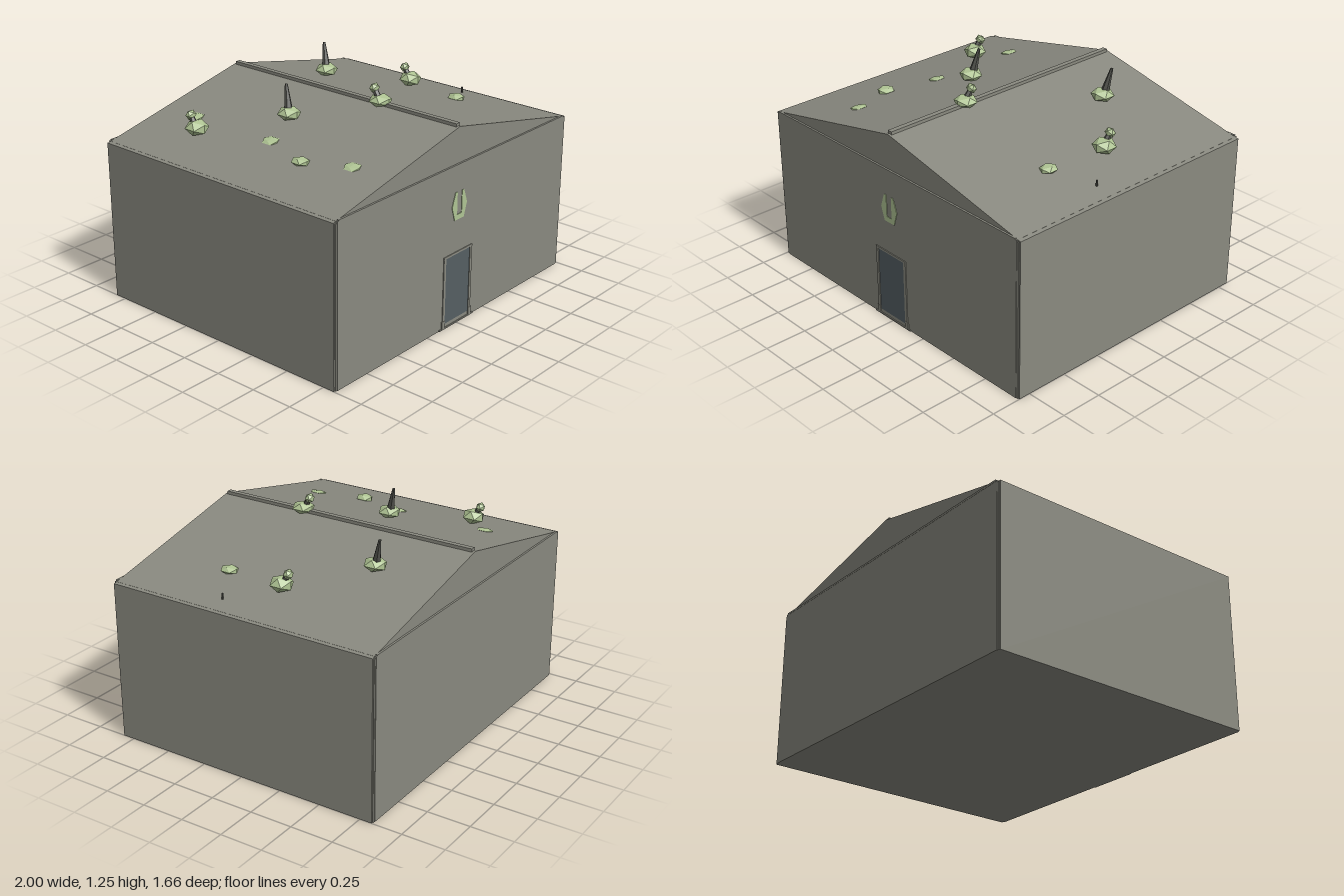
import * as THREE from 'three';

const mat = (name, color, flat = true) => {
  const m = new THREE.MeshStandardMaterial({ color, flatShading: flat });
  m.name = name;
  return m;
};

export function createModel() {
  const model = new THREE.Group();
  const stone = mat('stone', 0x8a8a80);
  const glass = mat('dark door', 0x555f63);
  const moss = mat('moss green', 0xb0c594);
  const bark = mat('dark spike', 0x52534d);

  const add = (name, geo, material, x = 0, y = 0, z = 0, parent = model) => {
    const mesh = new THREE.Mesh(geo, material);
    mesh.name = name;
    mesh.position.set(x, y, z);
    parent.add(mesh);
    return mesh;
  };
  const box = (name, w, h, d, x, y, z, material = stone) =>
    add(name, new THREE.BoxGeometry(w, h, d), material, x, y, z);
  const extrude = (points, depth) => new THREE.ExtrudeGeometry(
    new THREE.Shape(points.map(p => new THREE.Vector2(...p))), { depth, bevelEnabled: false });
  const roofY = x => 1.14 - 0.215 * Math.abs(x);

  // Walls: two crossing blocks leave a stepped notch at each corner
  box('sideWalls', 2, 0.925, 1.64, 0, 0.4625, 0);
  box('endWalls', 1.96, 0.93, 1.656, 0, 0.465, 0);

  // Gabled roof and its ridge cap
  add('roof', extrude([[-1, 0.92], [1, 0.92], [1, 0.925], [0, 1.14], [-1, 0.925]], 1.636),
    stone, 0, 0, -0.818);
  box('ridgeCap', 0.03, 0.03, 1.61, 0, 1.14, 0);

  // Cornices and corner strips
  for (const s of [-1, 1]) {
    box('cornice', 1.94, 0.012, 0.012, 0, 0.93, s * 0.823);
    for (const t of [-1, 1]) box('cornerStrip', 0.02, 0.92, 0.012, s * 0.982, 0.46, t * 0.819);
  }

  // Door with frame, feet and threshold
  box('door', 0.21, 0.39, 0.006, 0, 0.225, 0.827, glass);
  for (const s of [-1, 1]) {
    box('doorJamb', 0.018, 0.43, 0.01, s * 0.115, 0.215, 0.828);
    box('jambFoot', 0.025, 0.05, 0.012, s * 0.118, 0.025, 0.828);
  }
  box('doorLintel', 0.25, 0.012, 0.01, 0, 0.425, 0.828);
  box('threshold', 0.3, 0.008, 0.012, 0, 0.004, 0.828);

  // Notched mossy ornament above the door
  add('wallOrnament', extrude([[-0.04, 0.62], [0.04, 0.62], [0.065, 0.7], [0.037, 0.78],
    [0.02, 0.78], [0.02, 0.65], [-0.02, 0.65], [-0.02, 0.78], [-0.037, 0.78], [-0.065, 0.7]], 0.004),
    moss, 0, 0, 0.827);

  // Roof growths
  const ico = new THREE.IcosahedronGeometry(1, 0);
  const clump = (name, x, y, z, rx, ry, rz = rx) => {
    const m = add(name, ico, moss, x, y, z);
    m.scale.set(rx, ry, rz);
    return m;
  };
  const spike = (name, a, b, r0, r1) => {
    const from = new THREE.Vector3(...a), dir = new THREE.Vector3(...b).sub(from);
    const m = add(name, new THREE.CylinderGeometry(r1, r0, dir.length(), 6), bark);
    m.position.copy(from).addScaledVector(dir, 0.5);
    m.quaternion.setFromUnitVectors(new THREE.Vector3(0, 1, 0), dir.normalize());
  };

  // Double clumps joined by a short dark stalk
  for (const [x, y, z] of [[-0.705, 1.03, -0.42], [0.7, 1.03, -0.07], [0, 1.16, 0.28]]) {
    clump('lowerClump', x, y, z, 0.068, x ? 0.045 : 0.034);
    spike('clumpStalk', [x - 0.005, y + 0.01, z - 0.01], [x, y + 0.06, z - 0.042], 0.02, 0.014);
    clump('upperClump', x, y + 0.062, z - 0.043, 0.033, 0.029, 0.026);
  }
  // Clumps pierced by leaning spikes
  for (const [x, z] of [[-0.35, -0.07], [0.35, -0.42]]) {
    clump('spikeClump', x, 1.098, z, 0.068, 0.038);
    spike('roofSpike', [x + 0.005, 1.1, z - 0.008], [x + 0.025, 1.25, z - 0.042], 0.026, 0.008);
  }
  // Small tufts and flat patches
  for (const [x, z] of [[-0.665, 0.3], [0.66, 0.3]]) clump('smallTuft', x, 1.008, z, 0.048, 0.023, 0.055);
  for (const z of [-0.57, 0, 0.57]) {
    const patch = clump('mossPatch', -0.57, roofY(0.57) + 0.002, z, 0.045, 0.011, 0.055);
    patch.rotation.z = 0.212;
  }
  // Tiny vent pin
  box('ventPin', 0.008, 0.035, 0.008, 0.885, 0.967, 0.175, bark);

  return model;
}
